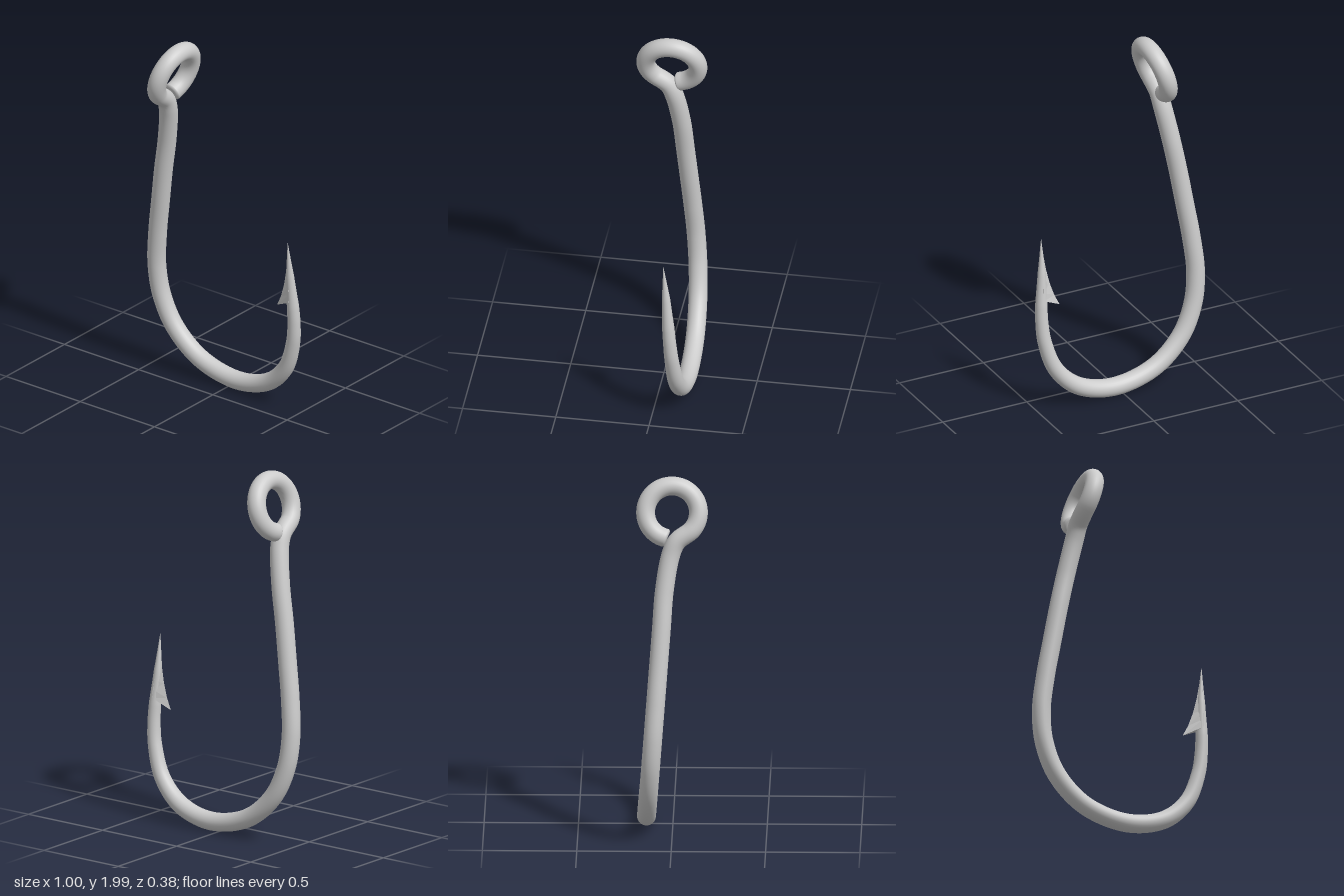
import * as THREE from 'three';

const material = new THREE.MeshStandardMaterial({ color: 0xcccccc, side: THREE.DoubleSide });
const SIDES = 28, STEPS = 300;

// the shank and bend lie in one slightly leaning plane
const planeZ = (y) => -0.144 + 0.075 * y;

// control points of the wire as [x, y, z, radius], from the cut end of the eye to the point
function wirePoints() {
  const pts = [];
  const eyeR = 0.14, up = [0.28, 0.96];
  for (let deg = 345; deg >= 45; deg -= 15) {
    const a = THREE.MathUtils.degToRad(deg);
    const c = -Math.cos(a) * eyeR;
    pts.push([-0.262 + up[0] * c, 1.81 + up[1] * c, Math.sin(a) * eyeR, 0.05]);
  }
  pts.push([-0.297, 1.66, 0.027, 0.05], [-0.304, 1.59, -0.005, 0.05]);
  const flat = [
    [-0.338, 1.4, 0.05], [-0.375, 1.2, 0.05], [-0.407, 1.0, 0.05], [-0.438, 0.8, 0.05],
    [-0.455, 0.6, 0.05], [-0.432, 0.42, 0.05], [-0.352, 0.25, 0.05], [-0.19, 0.11, 0.05],
    [0.05, 0.053, 0.05], [0.26, 0.105, 0.048], [0.39, 0.23, 0.043], [0.451, 0.4, 0.038],
    [0.464, 0.52, 0.035], [0.463, 0.62, 0.033], [0.454, 0.8, 0.022], [0.45, 1.0, 0.0005],
  ];
  for (const [x, y, r] of flat) pts.push([x, y, planeZ(y), r]);
  return pts;
}

// round tube of varying radius with a softly rounded cut at the start
function buildWire() {
  const ctrl = wirePoints();
  const curve = new THREE.CatmullRomCurve3(ctrl.map((p) => new THREE.Vector3(p[0], p[1], p[2])));
  curve.arcLengthDivisions = 1000;
  const frames = curve.computeFrenetFrames(STEPS, false);
  const pos = [], index = [];
  let rings = 0;
  const addRing = (i, radius, shift = 0) => {
    const c = curve.getPointAt(i / STEPS).addScaledVector(frames.tangents[i], shift);
    for (let j = 0; j < SIDES; j++) {
      const a = (j / SIDES) * Math.PI * 2;
      const p = c.clone()
        .addScaledVector(frames.normals[i], Math.cos(a) * radius)
        .addScaledVector(frames.binormals[i], Math.sin(a) * radius);
      pos.push(p.x, p.y, p.z);
    }
    rings++;
  };
  for (const [shift, r] of [[-0.012, 0.0005], [-0.012, 0.036], [-0.009, 0.044], [-0.004, 0.049]]) addRing(0, r, shift);
  for (let i = 0; i <= STEPS; i++) {
    const f = curve.getUtoTmapping(i / STEPS) * (ctrl.length - 1);
    const k = Math.min(Math.floor(f), ctrl.length - 2);
    addRing(i, THREE.MathUtils.lerp(ctrl[k][3], ctrl[k + 1][3], f - k));
  }
  for (let i = 0; i < rings - 1; i++) {
    for (let j = 0; j < SIDES; j++) {
      const a = i * SIDES + j, b = i * SIDES + ((j + 1) % SIDES);
      index.push(a, b, a + SIDES, b, b + SIDES, a + SIDES);
    }
  }
  const geo = new THREE.BufferGeometry();
  geo.setAttribute('position', new THREE.Float32BufferAttribute(pos, 3));
  geo.setIndex(index);
  geo.computeVertexNormals();
  return geo;
}

// sharp wedge whose edge sweeps from the point down to the barb tip
function buildBarb() {
  // each section: edge x, edge y, wire x, wire y, half thickness
  const sections = [
    [0.449, 0.995, 0.45, 0.995, 0.001], [0.441, 0.91, 0.452, 0.91, 0.01],
    [0.428, 0.82, 0.454, 0.82, 0.02], [0.409, 0.735, 0.457, 0.75, 0.025],
    [0.384, 0.66, 0.46, 0.7, 0.029], [0.355, 0.6, 0.461, 0.655, 0.031],
  ];
  const pos = [], index = [];
  for (const [ex, ey, wx, wy, h] of sections) {
    pos.push(ex, ey, planeZ(ey), wx, wy, planeZ(wy) + h, wx, wy, planeZ(wy) - h);
  }
  for (let i = 0; i < sections.length - 1; i++) {
    for (let j = 0; j < 3; j++) {
      const a = i * 3 + j, b = i * 3 + ((j + 1) % 3);
      index.push(a, a + 3, b, b, a + 3, b + 3);
    }
  }
  const n = (sections.length - 1) * 3;
  index.push(n, n + 2, n + 1);
  const geo = new THREE.BufferGeometry();
  geo.setAttribute('position', new THREE.Float32BufferAttribute(pos, 3));
  geo.setIndex(index);
  const flat = geo.toNonIndexed();
  flat.computeVertexNormals();
  return flat;
}

export function createModel() {
  const group = new THREE.Group();
  group.name = 'fishHook';
  const add = (name, geo) => {
    const mesh = new THREE.Mesh(geo, material);
    mesh.name = name;
    group.add(mesh);
  };
  add('hookWire', buildWire());
  add('barb', buildBarb());
  return group;
}
